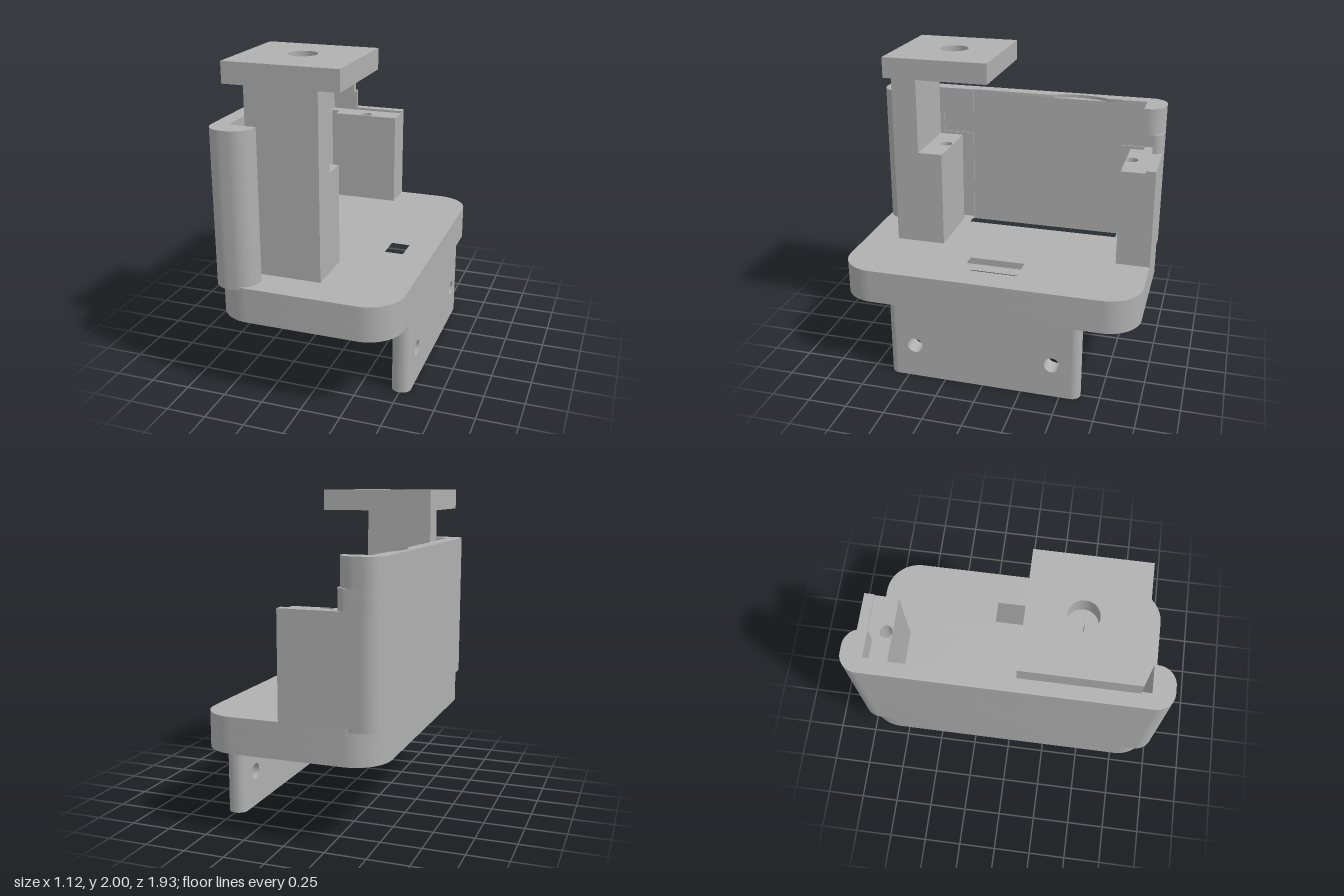
import * as THREE from 'three';
import { toCreasedNormals } from 'three/addons/utils/BufferGeometryUtils.js';

const grey = new THREE.MeshStandardMaterial({ color: 0xb0b0b0 });
grey.name = 'plain grey';

// Closed outline from [x, z, cornerRadius]; right-angle corners may be rounded.
function outline(corners) {
  const pts = [];
  corners.forEach(([x, z, r = 0], i) => {
    const p = new THREE.Vector2(x, -z);
    if (!r) return pts.push(p);
    const towards = (c) => new THREE.Vector2(c[0], -c[1]).sub(p).setLength(r);
    const u = towards(corners[(i + corners.length - 1) % corners.length]);
    const v = towards(corners[(i + 1) % corners.length]);
    for (let k = 0; k <= 12; k++) {
      const t = (k / 12) * Math.PI / 2;
      pts.push(p.clone().addScaledVector(u, 1 - Math.sin(t)).addScaledVector(v, 1 - Math.cos(t)));
    }
  });
  return pts;
}

const rect = (x0, x1, z0, z1, r = 0) =>
  outline([[x0, z0, r], [x1, z0, r], [x1, z1, r], [x0, z1, r]]);

const circle = (x, z, r) =>
  new THREE.Path().absarc(x, -z, r, 0, Math.PI * 2, false).getPoints(16);

function extrude(points, depth, holes = []) {
  const shape = new THREE.Shape(points);
  shape.holes = holes.map((h) => new THREE.Path(h));
  return new THREE.ExtrudeGeometry(shape, { depth, bevelEnabled: false, curveSegments: 24 });
}

// Plan outline raised from y0 to y1
function slab(name, points, y0, y1, holes) {
  const geo = extrude(points, y1 - y0, holes).rotateX(-Math.PI / 2).translate(0, y0, 0);
  const mesh = new THREE.Mesh(toCreasedNormals(geo, 0.6), grey);
  mesh.name = name;
  return mesh;
}

// One layer of the C-shaped side wall, with its shallow inner recess
function wallLayer(name, y0, y1, zBack, zFront, notch = false) {
  const inner = -0.47, deep = -0.478;
  const pts = [[-0.3, 0.83], [inner, 0.83], [inner, zFront], [deep, zFront]];
  if (notch) {
    for (let k = 0; k <= 16; k++) {
      const a = (k / 16 - 0.5) * 0.98;
      pts.push([-0.135 - 0.388 * Math.cos(a), -0.385 - 0.388 * Math.sin(a)]);
    }
  }
  pts.push([deep, zBack]);
  if (zBack > -0.83) pts.push([inner, zBack], [inner, -0.83]);
  pts.push([-0.3, Math.min(zBack, -0.83)]);
  const r = zBack < -0.83 ? 0.06 : 0.11;
  pts.push([-0.3, -0.963, r], [-0.565, -0.963, 0.11], [-0.565, 0.963, 0.11], [-0.3, 0.963, 0.11]);
  return slab(name, outline(pts), y0, y1);
}

export function createModel() {
  const model = new THREE.Group();
  model.name = 'mountingBracket';

  // Base plate with a through slot and a shallow pocket
  const plate = rect(-0.565, 0.56, -0.963, 0.963, 0.22);
  const slot = rect(0.2, 0.38, -0.18, 0.18);
  model.add(slab('basePlate', plate, 0.5, 0.63, [slot]));
  model.add(slab('basePocketRim', plate, 0.63, 0.72, [slot, rect(-0.478, 0.11, -0.68, 0.36)]));

  // Side wall with hooked ends
  const wall = new THREE.Group();
  wall.name = 'sideWall';
  wall.add(
    wallLayer('wallLower', 0.7, 1.35, -0.68, 0.36),
    wallLayer('wallEarGroove', 1.35, 1.49, -0.9, 0.57),
    wallLayer('wallUpper', 1.49, 1.64, -0.68, 0.36),
    wallLayer('wallTop', 1.64, 1.66, -0.68, 0.36, true)
  );
  model.add(wall);

  // Support blocks with screw holes
  const x0 = -0.41, x1 = 0.04;
  model.add(slab('frontBlock', rect(x0, x1, 0.42, 0.745), 0.72, 1.35, [circle(-0.19, 0.465, 0.04)]));
  model.add(slab('backBlock', rect(x0, x1, -0.963, -0.745), 0.72, 1.35, [circle(-0.19, -0.785, 0.04)]));
  model.add(slab('backBlockLip', rect(x0, x1, -0.963, -0.9), 1.35, 1.365));

  // Post carrying the top platform
  model.add(slab('post', rect(x0, x1, 0.58, 0.745), 1.35, 1.87));
  model.add(slab('topPlatform', rect(-0.545, 0.17, 0.07, 0.745), 1.87, 2, [circle(-0.19, 0.39, 0.09)]));

  // Hanging flange: drilled middle and rounded ends
  const flange = new THREE.Group();
  flange.name = 'flange';
  const end = 0.57;
  const face = rect(-end, end, -0.5, 0);
  const holes = [-0.45, 0.45].map((z) => circle(z, -0.225, 0.05));
  const geo = extrude(face, 0.12, holes).rotateY(Math.PI / 2).translate(0.44, 0, 0);
  const middle = new THREE.Mesh(toCreasedNormals(geo, 0.6), grey);
  middle.name = 'flangeMiddle';
  flange.add(middle);
  for (const s of [-1, 1]) {
    const tip = [[0.44, s * end], [0.44, s * 0.627, 0.055], [0.56, s * 0.627, 0.055], [0.56, s * end]];
    flange.add(slab('flangeEnd', outline(tip), 0, 0.5));
  }
  model.add(flange);
  return model;
}
